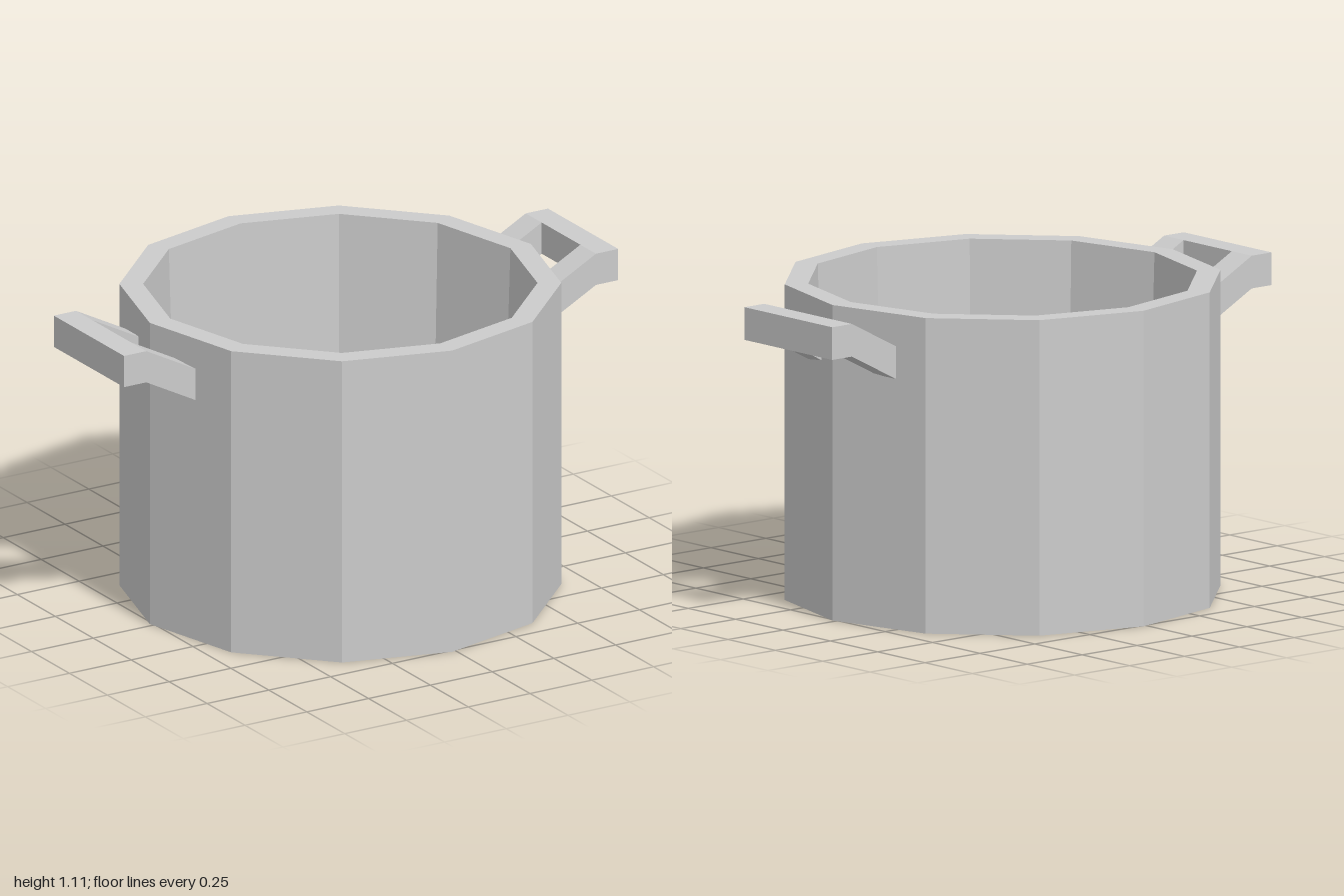
import * as THREE from 'three';

const material = new THREE.MeshStandardMaterial({ color: 0xcccccc, flatShading: true });

// Bent bracket arm: side profile in x/y, extruded along z
function makeArm(side, zMin, zMax) {
  const profile = [[1, 0.99], [1, 1.105], [0.91, 1.105], [0.71, 1.0], [0.71, 0.885], [0.91, 0.99]];
  const shape = new THREE.Shape(profile.map(([x, y]) => new THREE.Vector2(side * x, y)));
  const geometry = new THREE.ExtrudeGeometry(shape, { depth: zMax - zMin, bevelEnabled: false });
  geometry.translate(0, 0, zMin);
  return new THREE.Mesh(geometry, material);
}

// U-shaped handle: two arms joined by a grip bar
function makeHandle(side, name) {
  const handle = new THREE.Group();
  handle.name = name;
  const backArm = makeArm(side, -0.26, -0.155);
  backArm.name = 'backArm';
  const frontArm = makeArm(side, 0.1, 0.203);
  frontArm.name = 'frontArm';
  const grip = new THREE.Mesh(new THREE.BoxGeometry(0.09, 0.115, 0.255), material);
  grip.name = 'grip';
  grip.position.set(side * 0.955, 1.0475, -0.0275);
  handle.add(backArm, frontArm, grip);
  return handle;
}

export function createModel() {
  const pot = new THREE.Group();
  pot.name = 'pot';

  // Twelve-sided hollow body with a flat rim, slightly tapered inside
  const profile = [[0, 0], [0.762, 0], [0.762, 1.11], [0.68, 1.11], [0.647, 0.08], [0, 0.08]]
    .map(([r, y]) => new THREE.Vector2(r, y));
  const body = new THREE.Mesh(new THREE.LatheGeometry(profile, 12, -0.02), material);
  body.name = 'body';

  pot.add(body, makeHandle(1, 'leftHandle'), makeHandle(-1, 'rightHandle'));
  return pot;
}
